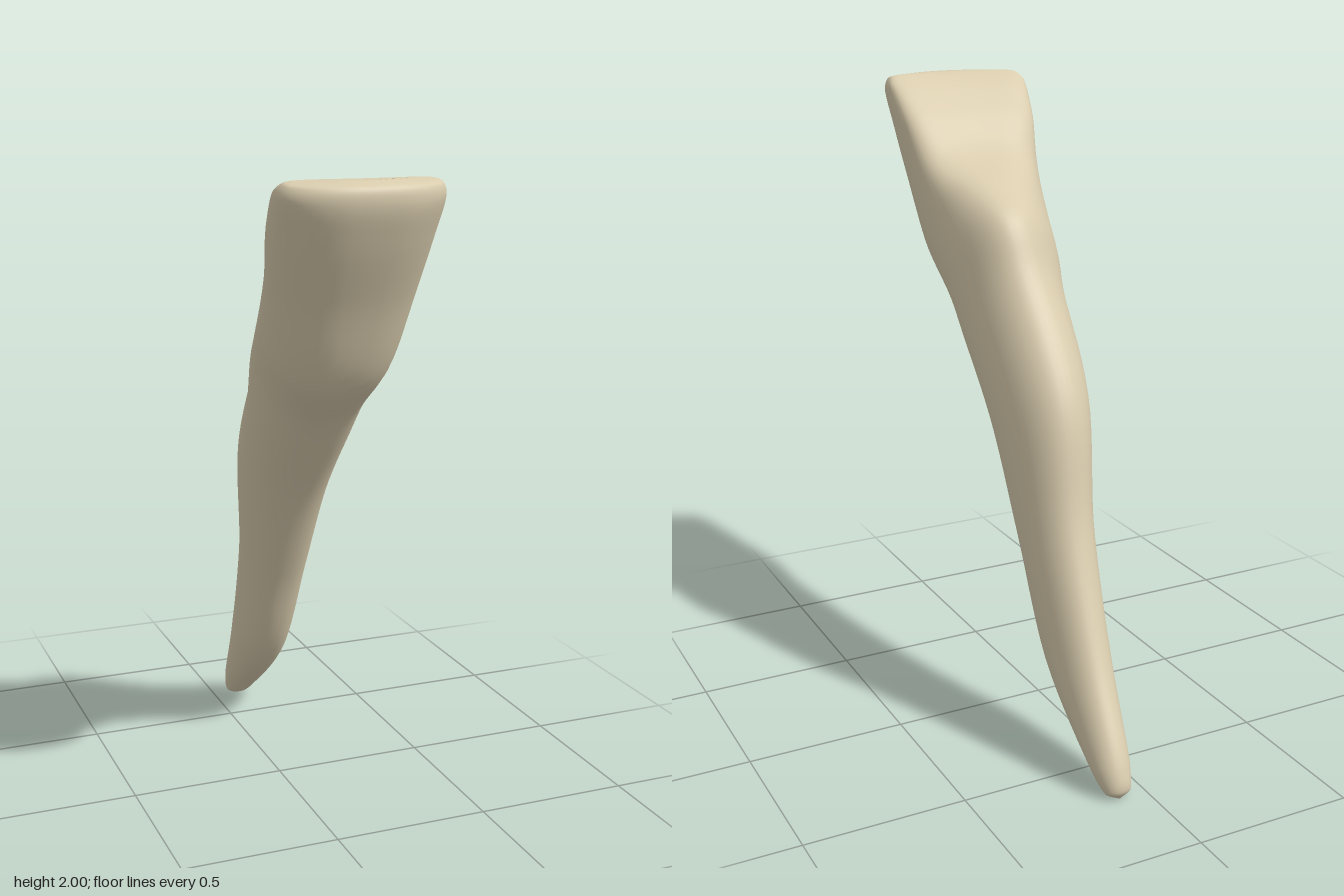
import * as THREE from 'three';

// Cross-sections from root tip to biting edge:
// front y, z | back y, z | x min, x max
const SECTIONS = [
  [0.004, -0.698, 0.006, -0.702, 0.088, 0.094],
  [0.01, -0.665, 0.035, -0.718, 0.05, 0.13],
  [0.055, -0.6, 0.11, -0.7, 0.032, 0.15],
  [0.3, -0.31, 0.38, -0.55, -0.01, 0.172],
  [0.64, -0.13, 0.74, -0.4, -0.038, 0.182],
  [0.95, 0.05, 1.12, -0.3, -0.09, 0.197],
  [1.16, 0.22, 1.46, -0.08, -0.132, 0.21],
  [1.27, 0.32, 1.62, 0.01, -0.155, 0.217],
  [1.41, 0.48, 1.69, 0.15, -0.19, 0.224],
  [1.65, 0.6, 1.765, 0.34, -0.213, 0.232],
  [1.83, 0.69, 1.89, 0.47, -0.236, 0.24],
  [1.935, 0.728, 1.972, 0.57, -0.247, 0.243],
  [1.98, 0.722, 1.998, 0.63, -0.228, 0.225],
  [1.997, 0.685, 1.998, 0.675, -0.15, 0.15],
];

const RINGS = 90, SIDES = 48;

// Smooth curve through two columns of the sections
const track = (a, b) => new THREE.CatmullRomCurve3(
  SECTIONS.map((s) => new THREE.Vector3(s[a], s[b], 0)));

const signedPow = (v, e) => Math.sign(v) * Math.abs(v) ** e;

function toothGeometry() {
  const front = track(0, 1), back = track(2, 3), width = track(4, 5);
  const positions = [], indices = [];
  for (let j = 0; j <= RINGS; j++) {
    const t = j / RINGS;
    const f = front.getPoint(t), b = back.getPoint(t), w = width.getPoint(t);
    const height = (f.x + b.x) / 2;
    // The crown is squarer and bowed; the bulge behind its neck is narrower
    const crown = THREE.MathUtils.smoothstep(height, 1.35, 1.85);
    const bulge = Math.exp(-(((height - 1.5) / 0.25) ** 2));
    const roundness = 0.9 - 0.25 * crown;
    const taper = 0.15 * (1 - crown) + 0.2 * bulge;
    for (let i = 0; i < SIDES; i++) {
      const a = (i / SIDES) * Math.PI * 2;
      const u = signedPow(Math.sin(a), roundness);
      const s = -signedPow(Math.cos(a), roundness); // -1 front, +1 back
      const k = (s + 1) / 2, rear = Math.max(s, 0);
      positions.push(
        (w.x + w.y) / 2 + u * (w.y - w.x) / 2 * (1 - taper * rear) + 0.05 * bulge * rear,
        f.x + (b.x - f.x) * k,
        f.y + (b.y - f.y) * k - 0.05 * crown * u * u);
      if (j < RINGS) {
        const n = (i + 1) % SIDES, r = j * SIDES, r2 = r + SIDES;
        indices.push(r + i, r + n, r2 + n, r + i, r2 + n, r2 + i);
      }
    }
  }
  // Close the root tip and the biting edge
  const top = RINGS * SIDES;
  for (let i = 1; i < SIDES - 1; i++) {
    indices.push(0, i + 1, i, top, top + i, top + i + 1);
  }
  const geometry = new THREE.BufferGeometry();
  geometry.setAttribute('position', new THREE.Float32BufferAttribute(positions, 3));
  geometry.setIndex(indices);
  geometry.computeVertexNormals();
  return geometry;
}

export function createModel() {
  const ivory = new THREE.MeshStandardMaterial({ color: 0xd9ccae });
  ivory.name = 'ivory';
  const tooth = new THREE.Mesh(toothGeometry(), ivory);
  tooth.name = 'incisorTooth';
  const group = new THREE.Group();
  group.name = 'tooth';
  group.add(tooth);
  return group;
}
